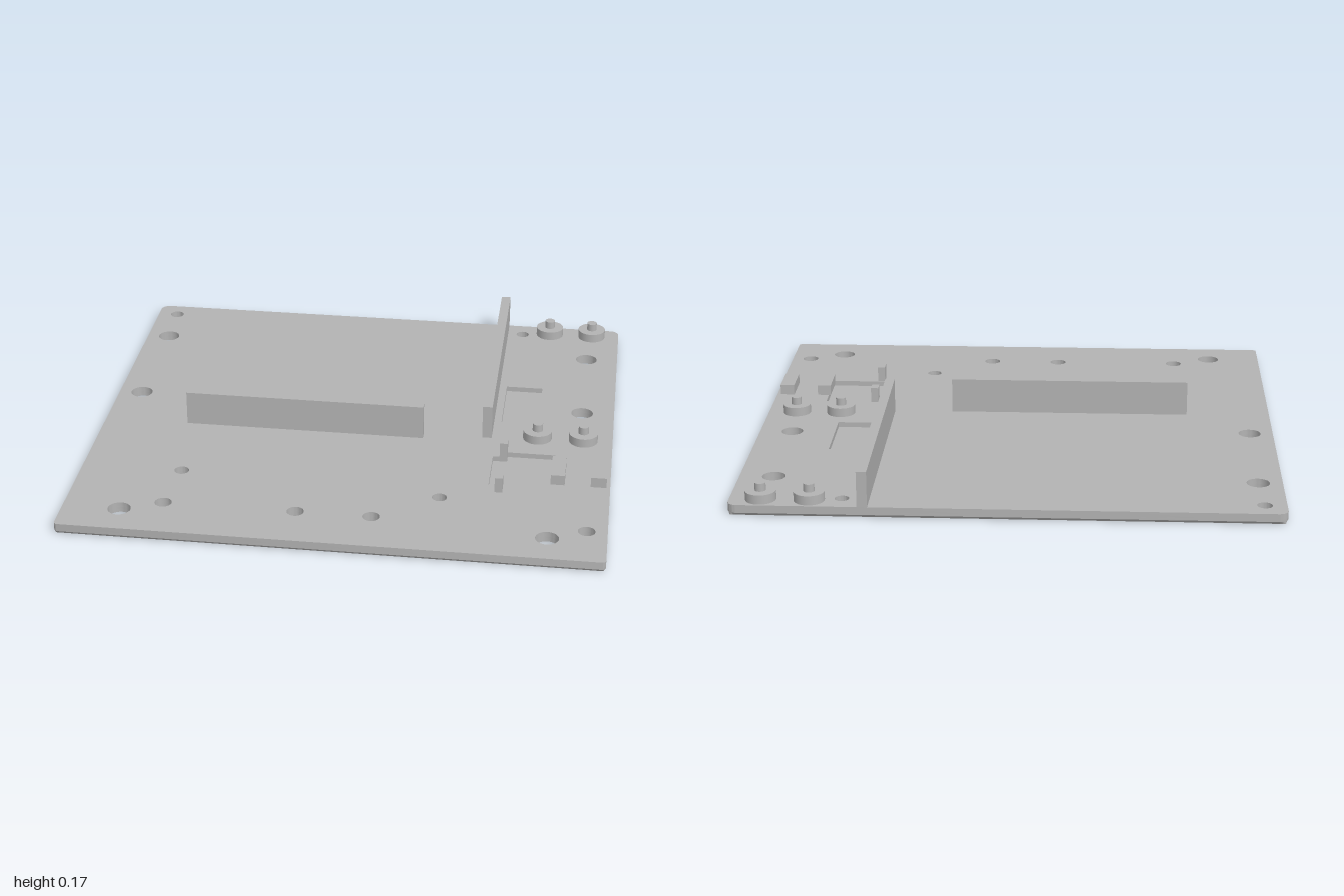
import * as THREE from 'three';
import { toCreasedNormals } from 'three/addons/utils/BufferGeometryUtils.js';

const EDGE_Z = 0.933, TOP = 0.04, FLOOR = 0.02, CHAMFER = 0.008;

// Through holes: x, z, radius
const HOLES = [
  [-0.92, -0.853, 0.028], [0.593, -0.853, 0.026], [-0.617, 0.488, 0.028], [0.374, 0.56, 0.028],
  [-0.91, -0.638, 0.043], [-0.91, -0.118, 0.043], [0.873, -0.648, 0.043], [0.873, -0.17, 0.043],
  [-0.787, 0.795, 0.043], [0.785, 0.795, 0.043],
  [-0.636, 0.73, 0.032], [-0.142, 0.73, 0.032], [0.139, 0.73, 0.032], [0.924, 0.73, 0.032],
];

// Shallow pockets in the top face: x, z outlines
const POCKETS = [
  [[0.56, -0.36], [0.705, -0.36], [0.705, -0.06], [0.56, -0.06]],
  [[0.547, 0.225], [0.602, 0.225], [0.602, 0.187], [0.785, 0.187], [0.785, 0.44], [0.547, 0.44]],
];

// Plate outline with round corners, larger at the back; shape y is -z
function plateOutline() {
  const s = new THREE.Shape(), b = 0.035, f = 0.015, e = EDGE_Z;
  s.moveTo(-1 + f, -e);
  s.lineTo(1 - f, -e);
  s.absarc(1 - f, -e + f, f, -Math.PI / 2, 0);
  s.lineTo(1, e - b);
  s.absarc(1 - b, e - b, b, 0, Math.PI / 2);
  s.lineTo(-1 + b, e);
  s.absarc(-1 + b, e - b, b, Math.PI / 2, Math.PI);
  s.lineTo(-1, -e + f);
  s.absarc(-1 + f, -e + f, f, Math.PI, Math.PI * 1.5);
  for (const [x, z, r] of HOLES) s.holes.push(new THREE.Path().absarc(x, -z, r, 0, Math.PI * 2, true));
  return s;
}

function slab(shape, y, depth, steps) {
  const g = new THREE.ExtrudeGeometry(shape, { depth, steps, bevelEnabled: false, curveSegments: 16 });
  return g.rotateX(-Math.PI / 2).translate(0, y, 0);
}

export function createModel() {
  const model = new THREE.Group();
  model.name = 'mountingPlate';
  const grey = new THREE.MeshStandardMaterial({ color: 0xb3b3b3 });
  grey.name = 'plain grey';

  const add = (name, geometry, parent = model) => {
    const mesh = new THREE.Mesh(geometry, grey);
    mesh.name = name;
    parent.add(mesh);
    return mesh;
  };
  const block = (name, x0, x1, z0, z1, height) => add(name,
    new THREE.BoxGeometry(x1 - x0, height - TOP, z1 - z0)
      .translate((x0 + x1) / 2, (height + TOP) / 2, (z0 + z1) / 2));

  // Lower half of the plate, its bottom rim pulled in to a chamfer
  const lower = slab(plateOutline(), 0, FLOOR, 2);
  const p = lower.attributes.position;
  for (let i = 0; i < p.count; i++) {
    if (p.getY(i) > 0.001) continue;
    p.setX(i, THREE.MathUtils.clamp(p.getX(i), -1 + CHAMFER, 1 - CHAMFER));
    p.setZ(i, THREE.MathUtils.clamp(p.getZ(i), -EDGE_Z + CHAMFER, EDGE_Z - CHAMFER));
  }
  add('lowerPlate', toCreasedNormals(lower, 0.5));

  // Upper half, cut through by the pockets
  const top = plateOutline();
  for (const outline of POCKETS) {
    top.holes.push(new THREE.Path(outline.map(([x, z]) => new THREE.Vector2(x, -z))));
  }
  add('upperPlate', toCreasedNormals(slab(top, FLOOR, TOP - FLOOR, 1), 0.5));

  // Upright ribs
  block('sideRib', 0.494, 0.531, -EDGE_Z, 0.08, 0.175);
  block('crossRib', -0.672, 0.265, 0.087, 0.117, 0.175);

  // Posts and blocks around the stepped pocket
  block('backClipPost', 0.573, 0.602, 0.182, 0.228, 0.1);
  block('frontClipPost', 0.573, 0.602, 0.445, 0.495, 0.1);
  block('innerBlock', 0.777, 0.83, 0.263, 0.41, 0.08);
  block('outerBlock', 0.927, 0.986, 0.263, 0.41, 0.08);

  // Four standoffs: wide base with a locating pin
  for (const x of [0.708, 0.886]) {
    for (const z of [-0.87, 0.055]) {
      const standoff = new THREE.Group();
      standoff.name = 'standoff';
      standoff.position.set(x, TOP, z);
      add('standoffBase', new THREE.CylinderGeometry(0.056, 0.056, 0.035, 32).translate(0, 0.0175, 0), standoff);
      add('standoffPin', new THREE.CylinderGeometry(0.02, 0.02, 0.03, 24).translate(0, 0.05, 0), standoff);
      model.add(standoff);
    }
  }
  return model;
}
